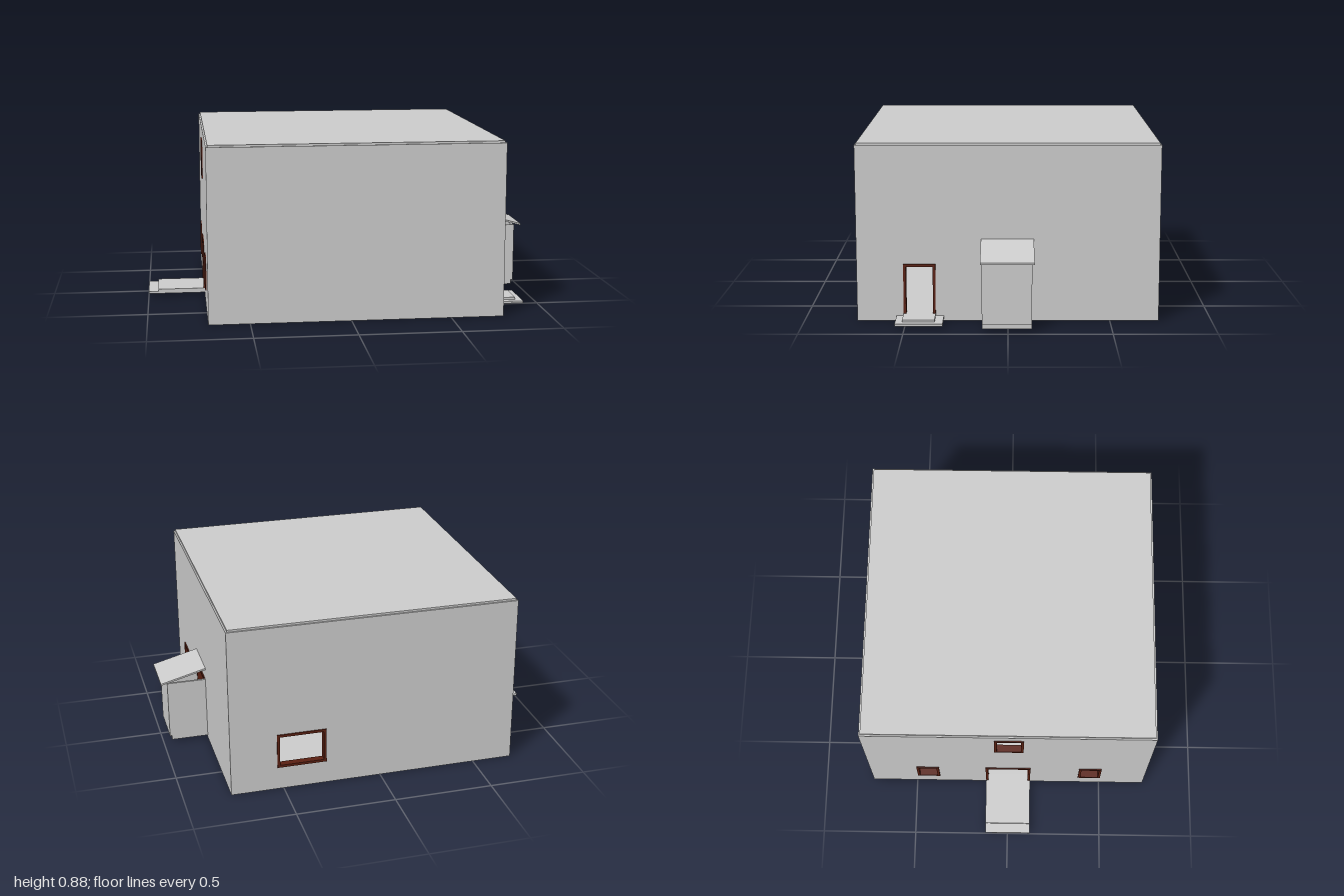
import * as THREE from 'three';

const GREY = 0xcccccc, BROWN = 0x5a2012;
const X0 = -0.705, X1 = 0.765, Z = 0.74, T = 0.03, TOP = 0.872;

export function createModel() {
  const house = new THREE.Group();
  house.name = 'house';
  const grey = new THREE.MeshStandardMaterial({ color: GREY, flatShading: true });
  const brown = new THREE.MeshStandardMaterial({ color: BROWN, flatShading: true });

  const add = (name, geo, mat = grey, parent = house) => {
    const mesh = new THREE.Mesh(geo, mat);
    mesh.name = name;
    parent.add(mesh);
    return mesh;
  };
  // Box given by its lower and upper corners
  const box = (name, x0, x1, y0, y1, z0, z1, mat = grey) => {
    const mesh = add(name, new THREE.BoxGeometry(x1 - x0, y1 - y0, z1 - z0), mat);
    mesh.position.set((x0 + x1) / 2, (y0 + y1) / 2, (z0 + z1) / 2);
    return mesh;
  };
  const path = (pts, Type = THREE.Shape) => new Type(pts.map(p => new THREE.Vector2(...p)));
  const rect = (a, b, c, d) => [[a, c], [b, c], [b, d], [a, d]];
  const extrude = (shape, depth) => new THREE.ExtrudeGeometry(shape, { depth, bevelEnabled: false });

  // Wall in its own plane: windows are holes, doors are notches in the foot.
  // Openings are [u0, u1, y0, y1], doors sorted by u.
  function wall(name, u0, u1, windows, doors, out) {
    const group = new THREE.Group();
    group.name = name;
    const outline = [[u0, 0]];
    for (const [a, b, , top] of doors) outline.push([a, 0], [a, top], [b, top], [b, 0]);
    outline.push([u1, 0], [u1, TOP], [u0, TOP]);
    const shape = path(outline);
    for (const w of windows) shape.holes.push(path(rect(...w), THREE.Path));
    add(name + 'Panel', extrude(shape, T), grey, group);

    const f = 0.013;
    const frame = (label, s) => {
      const mesh = add(label, extrude(s, T + 0.008), brown, group);
      mesh.position.z = out < 0 ? -0.006 : -0.002;
    };
    for (const [a, b, c, d] of windows) {
      const s = path(rect(a, b, c, d));
      s.holes.push(path(rect(a + f, b - f, c + f, d - f), THREE.Path));
      frame('windowFrame', s);
    }
    for (const [a, b, c, d] of doors)
      frame('doorFrame', path([[a, c], [a + f, c], [a + f, d - f], [b - f, d - f],
        [b - f, c], [b, c], [b, d], [a, d]]));
    house.add(group);
    return group;
  }

  // Four outer walls; the side walls are turned so that u runs along z
  const right = wall('rightWall', -Z, Z, [],
    [[-0.1, 0.11, 0.037, 0.345], [0.355, 0.512, 0.037, 0.285]], -1);
  right.rotation.y = -Math.PI / 2;
  right.position.x = X1;
  const left = wall('leftWall', -Z, Z,
    [[-0.49, -0.37, 0.115, 0.285], [0.38, 0.5, 0.115, 0.285], [-0.07, 0.08, 0.62, 0.82]],
    [[-0.12, 0.12, 0.037, 0.285]], 1);
  left.rotation.y = -Math.PI / 2;
  left.position.x = X0 + T;
  wall('backWall', X0 + T, X1 - T, [[0.28, 0.53, 0.12, 0.3]], [], -1).position.z = -Z;
  wall('frontWall', X0 + T, X1 - T, [], [], 1).position.z = Z - T;

  // Floors and flat roof
  const xi0 = X0 + T, xi1 = X1 - T, zi = Z - T;
  box('groundFloor', xi0, xi1, 0.012, 0.037, -zi, zi);
  box('upperFloor', xi0, xi1, 0.485, 0.51, -zi, zi);
  box('roof', X0 + 0.008, X1 - 0.008, TOP - 0.02, 0.882, -Z + 0.008, Z - 0.008);

  // Steps on the left, running through the doorway
  box('leftUpperStep', -0.95, xi0, 0.025, 0.037, -0.12, 0.12);
  box('leftLowerStep', -1, xi0, 0.014, 0.025, -0.12, 0.12);

  // Steps on the right
  box('rightUpperStep', xi1, 0.88, 0.025, 0.037, 0.355, 0.512);
  box('rightLowerStep', X1, 0.915, 0.014, 0.025, 0.315, 0.547);
  box('rightSill', xi1, X1, 0.012, 0.025, 0.355, 0.512);

  // Porch: floor, three thin walls and a sloped canopy, open under its gable
  const px = 0.966, pz0 = -0.115, pz1 = 0.125, t = 0.012, py = 0.342;
  box('porchSill', xi1, X1, 0.014, 0.037, -0.1, 0.11);
  box('porchFloor', X1, 0.955, 0.014, 0.037, pz0, pz1);
  box('porchFrontWall', px - t, px, 0.037, py, pz0, pz1);
  box('porchLeftWall', X1, px - t, 0.037, py, pz1 - t, pz1);
  box('porchRightWall', X1, px - t, 0.037, py, pz0, pz0 + t);
  const canopy = add('porchCanopy',
    extrude(path([[X1, 0.402], [1, 0.34], [1, 0.349], [X1, 0.411]]), 0.258));
  canopy.position.z = -0.126;

  return house;
}
